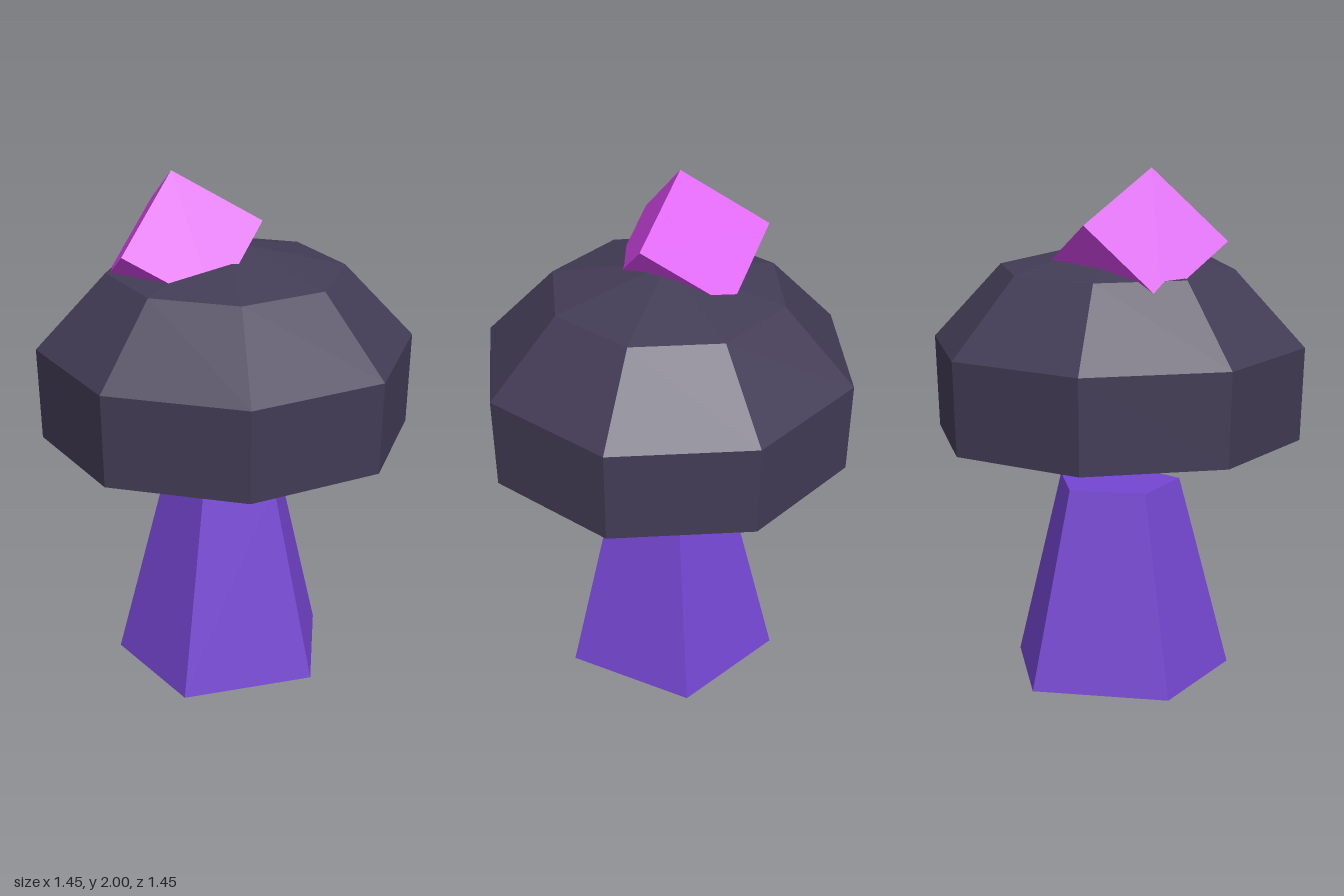
import * as THREE from 'three';

const flat = (name, color) => {
  const m = new THREE.MeshStandardMaterial({ color, flatShading: true });
  m.name = name;
  return m;
};

export function createModel() {
  const model = new THREE.Group();
  model.name = 'mushroom';
  const add = (name, geometry, material, parent = model) => {
    const mesh = new THREE.Mesh(geometry, material);
    mesh.name = name;
    parent.add(mesh);
    return mesh;
  };

  // Five-sided tapered stem with one corner toward +x, slightly narrowed in x
  const stem = new THREE.CylinderGeometry(0.25, 0.45, 0.768, 5);
  stem.rotateY(Math.PI / 2).scale(0.94, 1, 1).translate(0, 0.384, 0);
  add('stem', stem, flat('violet', 0x7546d1));

  // Eight-sided floating cap, closed underneath
  const profile = [[0, 0.96], [0.712, 0.96], [0.725, 1.318], [0.455, 1.61], [0, 1.72]]
    .map(([r, y]) => new THREE.Vector2(r, y));
  add('cap', new THREE.LatheGeometry(profile, 8), flat('dark slate', 0x433c56));

  // Tilted cube crystal sunk into the top of the cap
  const crystal = new THREE.BoxGeometry(0.405, 0.405, 0.405);
  crystal.rotateZ(Math.PI / 4).rotateX(Math.PI / 4);
  crystal.scale(0.94, 0.93, 1).translate(-0.134, 1.677, 0.0975);
  add('crystal', crystal, flat('magenta', 0xd946ef));

  return model;
}
